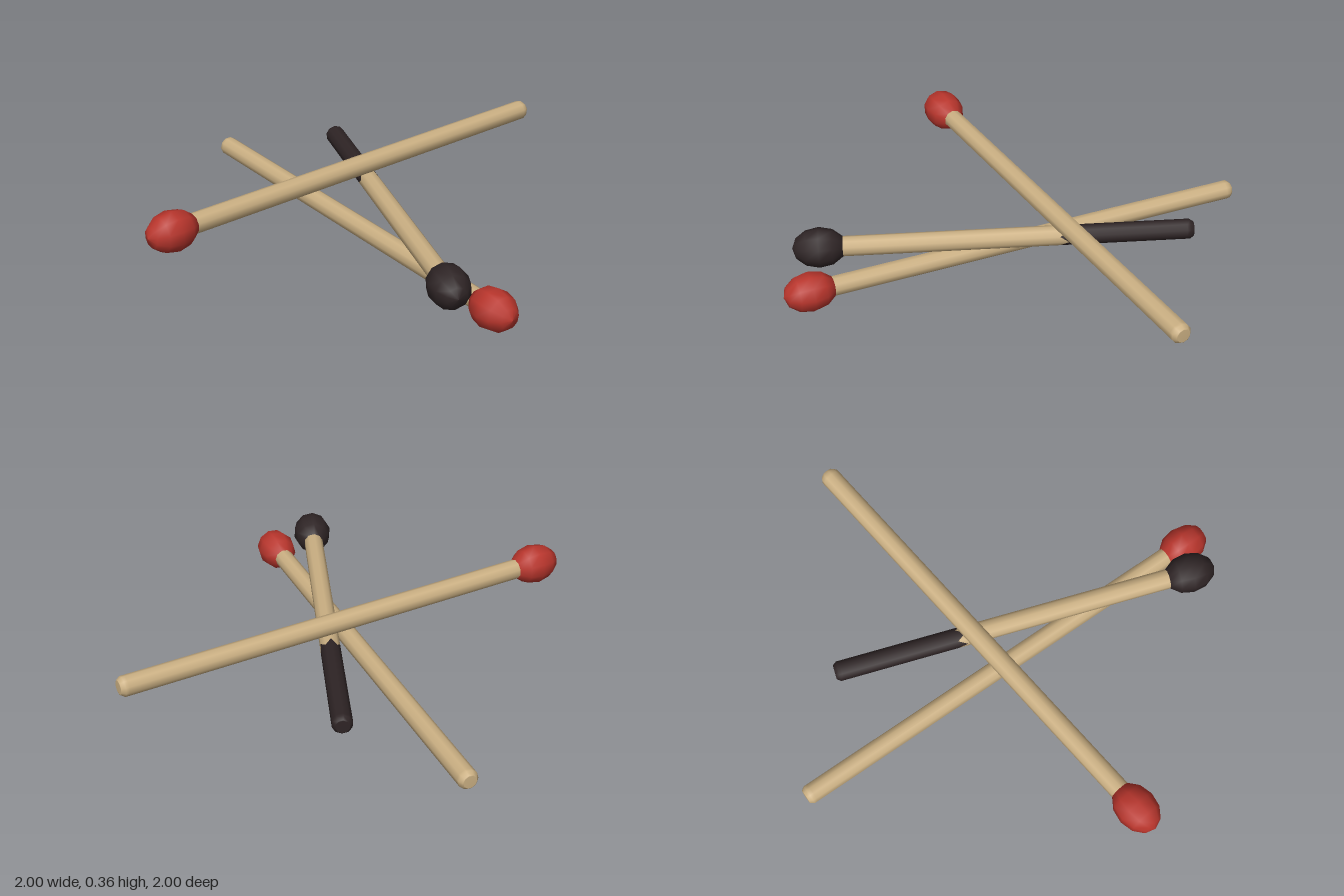
import * as THREE from 'three';

const SIDES = 10;
const R = 0.041;
const material = (name, color) => Object.assign(new THREE.MeshStandardMaterial({ color }), { name });

// Surface of revolution along +y from [radius, height] pairs
function lathe(profile) {
  return new THREE.LatheGeometry(profile.map(([r, y]) => new THREE.Vector2(r, y)), SIDES);
}

// Zigzag one ring of a lathe along its axis
function jag(geometry, ringCount, ring, amount) {
  const pos = geometry.attributes.position;
  for (let i = 0; i <= SIDES; i++) {
    const k = i * ringCount + ring;
    pos.setY(k, pos.getY(k) + (i % 2 ? amount : -amount));
  }
  return geometry;
}

// Chamfered cut end of a stick
const buttEnd = [[0, 0], [0.027, 0], [0.03, 0.001], [R, 0.016], [R, 0.03]];

export function createModel() {
  const wood = material('paleWood', 0xcbb083);
  const red = material('redTip', 0xb8352c);
  const char = material('charredBlack', 0x2e2425);

  // Match head: a slightly blunt egg centred on the origin
  const headProfile = [];
  for (let i = 0; i <= 6; i++) {
    const a = (i / 6) * Math.PI;
    headProfile.push([Math.sin(a) * 0.082, -Math.cos(a) * 0.108]);
  }
  headProfile[0][0] = headProfile[6][0] = 0;
  const headGeometry = lathe(headProfile);

  const model = new THREE.Group();
  model.name = 'matches';

  // A match lies flat at height y, from its cut end to its head centre
  function addMatch(name, y, [x0, z0], [x1, z1], headMaterial, burntLength) {
    const match = new THREE.Group();
    match.name = name;
    const dir = new THREE.Vector3(x1 - x0, 0, z1 - z0);
    const length = dir.length();
    const add = (part, geometry, mat) => {
      const mesh = new THREE.Mesh(geometry, mat);
      mesh.name = part;
      match.add(mesh);
      return mesh;
    };

    if (burntLength) {
      // Charred end meets bare wood along a jagged line
      const burnt = [...buttEnd, [R, burntLength]];
      add('charredStick', jag(lathe(burnt), burnt.length, burnt.length - 1, 0.018), char);
      add('stick', jag(lathe([[R, burntLength], [R, length]]), 2, 0, 0.018), wood);
    } else {
      add('stick', lathe([...buttEnd, [R, length]]), wood);
    }
    add('head', headGeometry, headMaterial).position.y = length;

    match.position.set(x0, y, z0);
    match.quaternion.setFromUnitVectors(new THREE.Vector3(0, 1, 0), dir.normalize());
    model.add(match);
  }

  addMatch('lowerMatch', 0.085, [-0.998, 0], [0.89, 0.13], red);
  addMatch('burntMatch', 0.184, [-0.605, -0.313], [0.792, 0.264], char, 0.53);
  addMatch('upperMatch', 0.28, [-0.115, -0.998], [-0.05, 0.89], red);
  return model;
}
